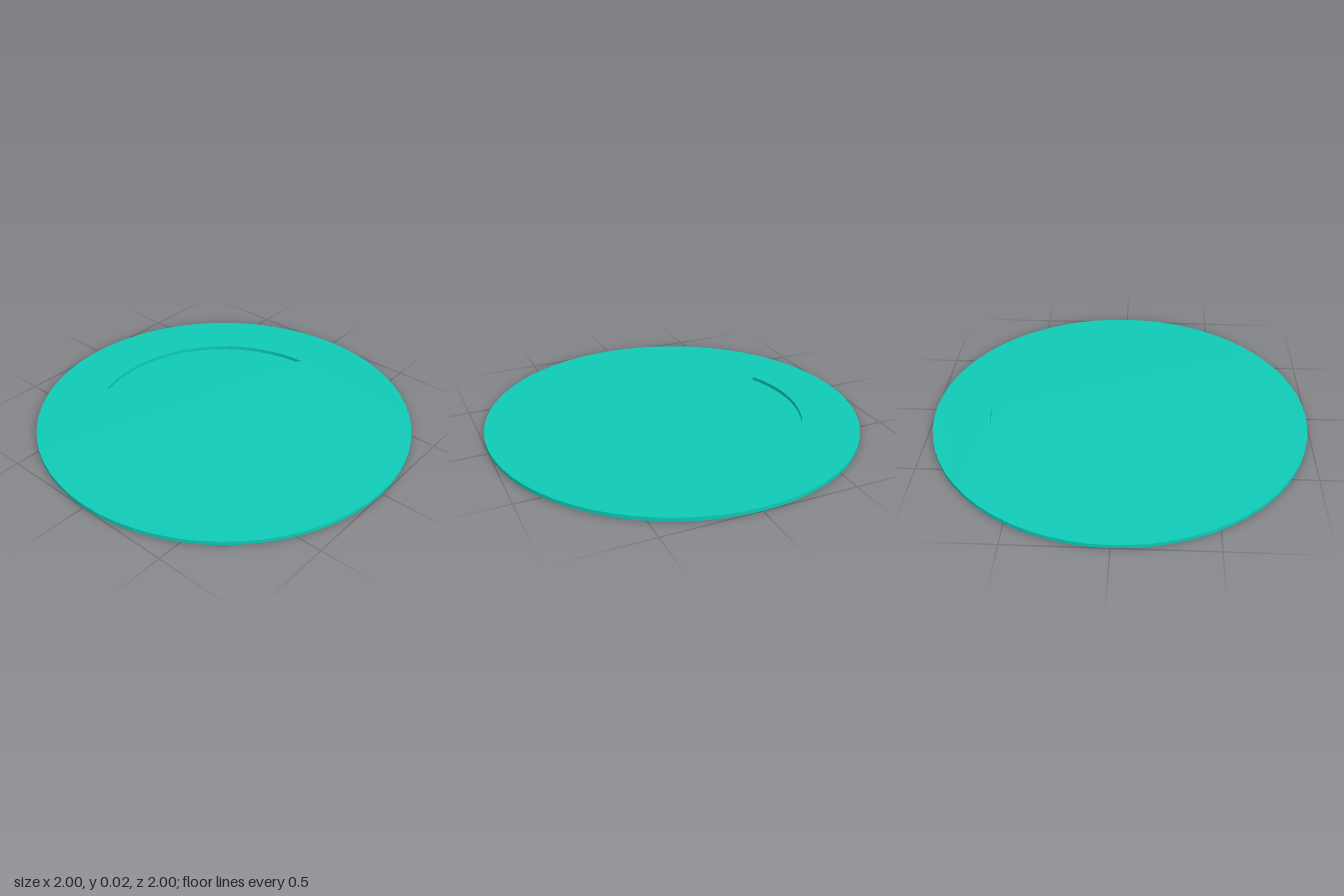
import * as THREE from 'three';

const SEGMENTS = 64;
const THICKNESS = 0.02;
const RECESS_RADIUS = 0.7;
const RECESS_STEPS = 20; // the recess arc spans 20 of the 64 facets
const STEP = (Math.PI * 2) / SEGMENTS;

// Points along an arc, counter-clockwise from +x
function arcPoints(radius, steps) {
  return Array.from({ length: steps }, (_, i) =>
    new THREE.Vector2(radius * Math.cos(i * STEP), radius * Math.sin(i * STEP)));
}

export function createModel() {
  const group = new THREE.Group();
  group.name = 'disc';
  const material = new THREE.MeshStandardMaterial({
    color: 0x0fcab6, flatShading: true, side: THREE.DoubleSide,
  });

  function add(name, geometry, y) {
    const mesh = new THREE.Mesh(geometry, material);
    mesh.name = name;
    mesh.position.y = y;
    group.add(mesh);
  }

  // Top face with the circular-segment opening
  const face = new THREE.Shape(arcPoints(1, SEGMENTS));
  face.holes.push(new THREE.Path(arcPoints(RECESS_RADIUS, RECESS_STEPS + 1)));
  add('topFace', new THREE.ShapeGeometry(face).rotateX(-Math.PI / 2), THICKNESS);

  // Underside, which is also the floor of the recess
  add('bottomFace', new THREE.CircleGeometry(1, SEGMENTS).rotateX(Math.PI / 2), 0);

  // Outer edge
  add('rim', new THREE.CylinderGeometry(1, 1, THICKNESS, SEGMENTS, 1, true), THICKNESS / 2);

  // Curved wall of the recess; the straight side is open under the top face
  add('recessWall', new THREE.CylinderGeometry(RECESS_RADIUS, RECESS_RADIUS, THICKNESS,
    RECESS_STEPS, 1, true, Math.PI / 2, RECESS_STEPS * STEP), THICKNESS / 2);

  return group;
}
